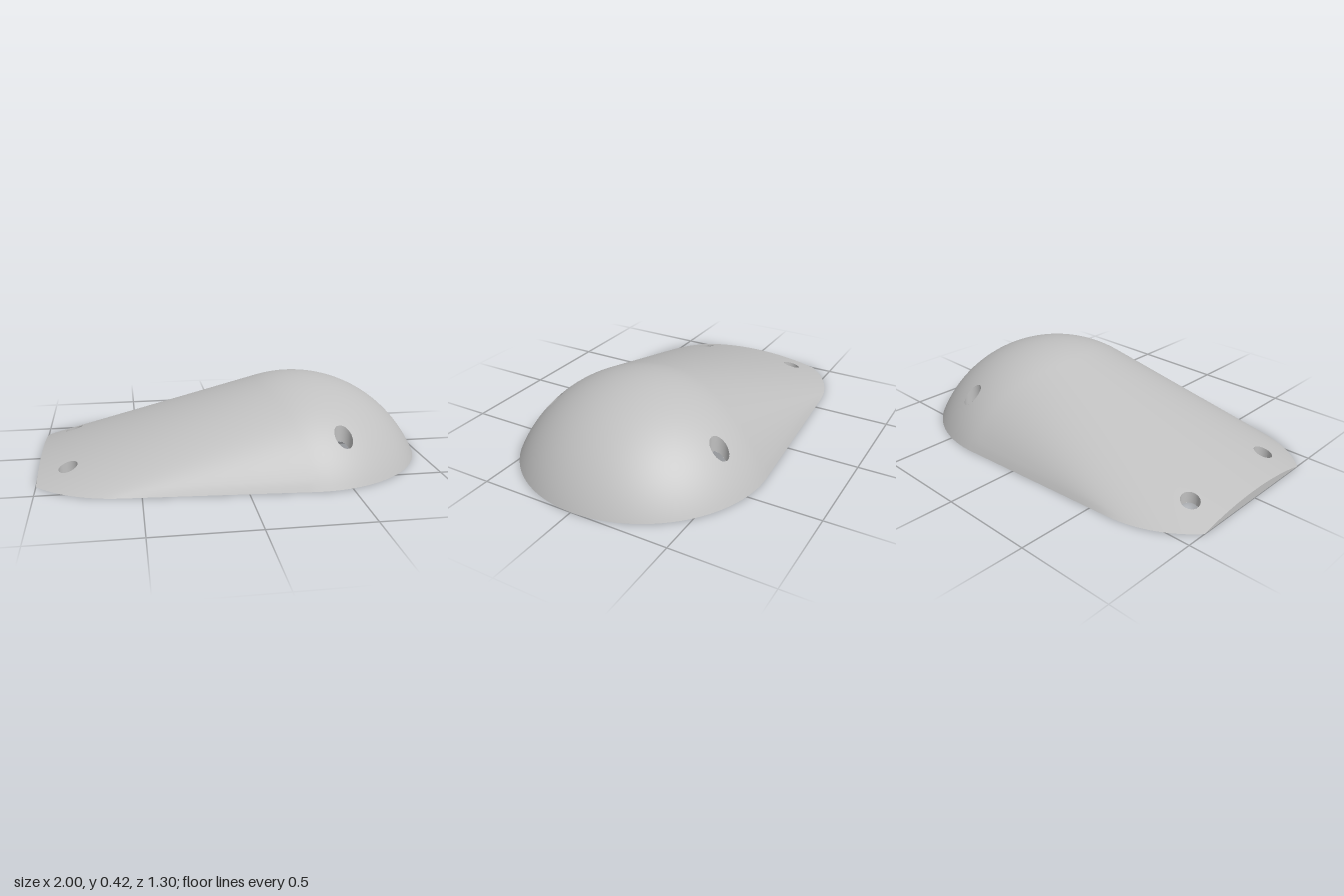
import * as THREE from 'three';

const DOME_X = 0.35, DOME_Y = -0.3015, TAIL_X = -0.56;
const HOLE_R = 0.047;
const HOLES = [[0.49, 0.48], [0.49, -0.48], [-0.85, 0.3], [-0.85, -0.3]];

// Hull of a ball (dome) and a flat disc (tail), kept above y = 0.
function makeHull(R, tailR) {
  const base = Math.sqrt(R * R - DOME_Y * DOME_Y), span = DOME_X - TAIL_X;
  const cos0 = -(base - tailR) / span, sin0 = Math.sqrt(1 - cos0 * cos0);
  const x1 = TAIL_X + tailR * cos0, x2 = DOME_X + base * cos0;

  // planes touching both the ball and the disc
  const planes = [], start = Math.acos(cos0), N = 400;
  for (let i = 0; i <= N; i++) {
    const phi = start + (2 * Math.PI - 2 * start) * i / N;
    const B = tailR - span * Math.cos(phi);
    const theta = Math.atan2(B, -DOME_Y) - Math.acos(Math.min(1, R / Math.hypot(B, DOME_Y)));
    const t = Math.tan(theta);
    planes.push([t * Math.cos(phi), t * Math.sin(phi), t * (TAIL_X * Math.cos(phi) + tailR)]);
  }

  const height = (x, z) => {
    const dx = x - DOME_X, d2 = dx * dx + z * z;
    if (d2 < R * R) {
      const ny = Math.sqrt(R * R - d2);
      const ball = dx * DOME_X + ny * DOME_Y + R * R;
      if (ball >= dx * TAIL_X + tailR * Math.sqrt(d2)) return Math.max(0, DOME_Y + ny);
    }
    let y = Infinity;
    for (const [a, b, c] of planes) y = Math.min(y, c - a * x - b * z);
    return Math.max(0, y);
  };

  // half width of the outline on the ground
  const width = (x) => {
    const arc = (c, r) => Math.sqrt(Math.max(0, r * r - (x - c) * (x - c)));
    if (x <= x1) return arc(TAIL_X, tailR);
    if (x >= x2) return arc(DOME_X, base);
    return sin0 * (tailR + (base - tailR) * (x - x1) / (x2 - x1));
  };
  return { height, width, minX: TAIL_X - tailR, maxX: DOME_X + base };
}

// Samples that crowd towards both ends
function samples(a, b, n) {
  return Array.from({ length: n + 1 }, (_, i) => a + (b - a) * (1 - Math.cos(Math.PI * i / n)) / 2);
}

// Surface over the ground between z = lo(x) and z = hi(x), with the round holes left open
function patch(xs, rows, lo, hi, height, up) {
  const pos = [], inside = [], index = [];
  for (const x0 of xs) {
    for (let j = 0; j <= rows; j++) {
      let x = x0, z = lo(x0) + (hi(x0) - lo(x0)) * j / rows, hit = false;
      for (const [hx, hz] of HOLES) {
        const dx = x - hx, dz = z - hz, d = Math.hypot(dx, dz);
        if (d < HOLE_R + 0.002) {
          const k = HOLE_R / Math.max(d, 1e-6);
          x = hx + dx * k;
          z = hz + dz * k;
          hit = true;
          break;
        }
      }
      pos.push(x, height(x, z), z);
      inside.push(hit);
    }
  }
  const w = rows + 1;
  const face = (a, b, c) => index.push(...(up ? [a, b, c] : [a, c, b]));
  for (let i = 0; i < xs.length - 1; i++) {
    for (let j = 0; j < rows; j++) {
      const a = i * w + j, b = a + 1, c = a + w, d = c + 1;
      if (inside[a] && inside[b] && inside[c] && inside[d]) continue;
      face(a, b, c);
      face(b, d, c);
    }
  }
  const g = new THREE.BufferGeometry();
  g.setAttribute('position', new THREE.Float32BufferAttribute(pos, 3));
  g.setIndex(index);
  g.computeVertexNormals();
  return g;
}

export function createModel() {
  const group = new THREE.Group();
  const grey = new THREE.MeshStandardMaterial({ color: 0xc0c0c0, side: THREE.DoubleSide });
  grey.name = 'light grey';
  const add = (name, geometry) => {
    const m = new THREE.Mesh(geometry, grey);
    m.name = name;
    group.add(m);
  };

  const outer = makeHull(Math.hypot(0.65, DOME_Y), 0.588);
  const inner = makeHull(0.655, 0.42);
  const flat = () => 0;

  // outer skin and hollow underside
  add('outerShell', patch(samples(-1, 1, 200), 100,
    (x) => -outer.width(x), (x) => outer.width(x), outer.height, true));
  add('innerShell', patch(samples(inner.minX, inner.maxX, 180), 90,
    (x) => -inner.width(x), (x) => inner.width(x), inner.height, false));

  // flat rim between the two outlines
  const rimX = [...samples(-1, inner.minX, 6), ...samples(inner.minX, inner.maxX, 180).slice(1),
    ...samples(inner.maxX, 1, 24).slice(1)];
  const innerWidth = (x) => (x <= inner.minX || x >= inner.maxX ? 0 : inner.width(x));
  add('leftRim', patch(rimX, 16, innerWidth, outer.width, flat, false));
  add('rightRim', patch(rimX, 16, (x) => -outer.width(x), (x) => -innerWidth(x), flat, false));

  // flat cut at the tail
  const half = outer.width(-1), edge = [];
  for (let i = 0; i <= 60; i++) {
    const z = half - 2 * half * i / 60;
    edge.push(new THREE.Vector2(z, i % 60 ? outer.height(-1, z) : 0));
  }
  const cut = new THREE.ShapeGeometry(new THREE.Shape(edge));
  cut.rotateY(-Math.PI / 2).translate(-1, 0, 0);
  add('tailFace', cut);

  // walls of the screw holes, trimmed to both skins
  for (const [hx, hz] of HOLES) {
    const g = new THREE.CylinderGeometry(HOLE_R, HOLE_R, 1, 40, 1, true);
    g.scale(-1, 1, 1).translate(hx, 0, hz);
    const p = g.attributes.position;
    for (let i = 0; i < p.count; i++) {
      const skin = p.getY(i) > 0 ? outer : inner;
      p.setY(i, skin.height(p.getX(i), p.getZ(i)));
    }
    g.computeVertexNormals();
    add('screwHoleWall', g);
  }
  return group;
}
